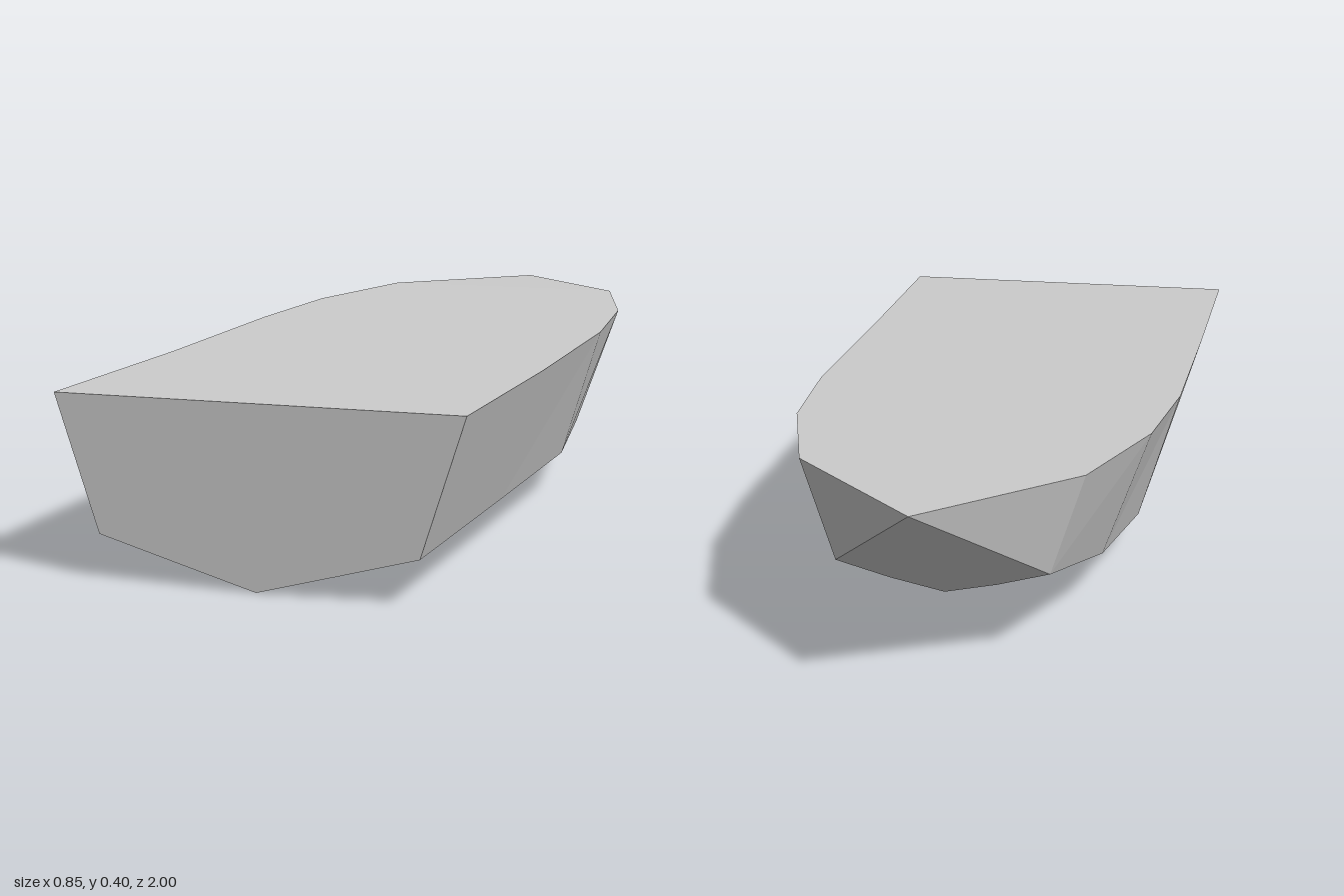
import * as THREE from 'three';

// Hull stations from stern to bow: z, half-beam and height of deck edge, chine, bilge and keel
const stations = [
  { z: 1.0, deck: [0.424, 0.373], chine: [0.333, 0.094], bilge: [0.167, 0.048], keel: 0.002, keelZ: 1.0 },
  { z: 0.45, deck: [0.424, 0.376], chine: [0.333, 0.094], bilge: [0.167, 0.049], keel: 0.004, keelZ: 0.45 },
  { z: -0.07, deck: [0.422, 0.387], chine: [0.332, 0.095], bilge: [0.166, 0.06], keel: 0.027, keelZ: -0.06 },
  { z: -0.385, deck: [0.392, 0.397], chine: [0.29, 0.115], bilge: [0.145, 0.09], keel: 0.068, keelZ: -0.38 },
  { z: -0.705, deck: [0.296, 0.406], chine: [0.225, 0.188], bilge: [0.113, 0.152], keel: 0.123, keelZ: -0.68 },
];
const tip = [0, 0.406, -1];

// Cross-section from the +x deck edge under the keel to the -x deck edge
function section({ z, deck, chine, bilge, keel, keelZ }) {
  const half = [[...deck, z], [...chine, z], [...bilge, (z + keelZ) / 2]];
  const mirrored = half.map(([x, y, pz]) => [-x, y, pz]).reverse();
  return [...half, [0, keel, keelZ], ...mirrored];
}

function meshFrom(name, triangles, material) {
  const geometry = new THREE.BufferGeometry();
  geometry.setAttribute('position', new THREE.Float32BufferAttribute(triangles.flat(2), 3));
  geometry.computeVertexNormals();
  const mesh = new THREE.Mesh(geometry, material);
  mesh.name = name;
  return mesh;
}

export function createModel() {
  const material = new THREE.MeshStandardMaterial({ color: 0xcccccc, flatShading: true });
  const rings = stations.map(section);
  const last = rings[0].length - 1;
  const hull = [], bow = [], deck = [], transom = [];

  // Side and bottom panels between stations, with the deck strip closing each bay
  for (let i = 0; i < rings.length - 1; i++) {
    const a = rings[i], b = rings[i + 1];
    for (let j = 0; j < last; j++) {
      hull.push([a[j], a[j + 1], b[j]], [a[j + 1], b[j + 1], b[j]]);
    }
    deck.push([a[last], a[0], b[last]], [a[0], b[0], b[last]]);
  }

  // Fan of panels drawn to the bow tip
  const front = rings[rings.length - 1];
  for (let j = 0; j < last; j++) bow.push([front[j], front[j + 1], tip]);
  deck.push([front[last], front[0], tip]);

  // Flat stern
  const stern = rings[0];
  for (let j = 1; j < last; j++) transom.push([stern[0], stern[j + 1], stern[j]]);

  const group = new THREE.Group();
  group.name = 'boatHull';
  group.add(
    meshFrom('hullPanels', hull, material),
    meshFrom('bowPanels', bow, material),
    meshFrom('deck', deck, material),
    meshFrom('transom', transom, material),
  );
  return group;
}
